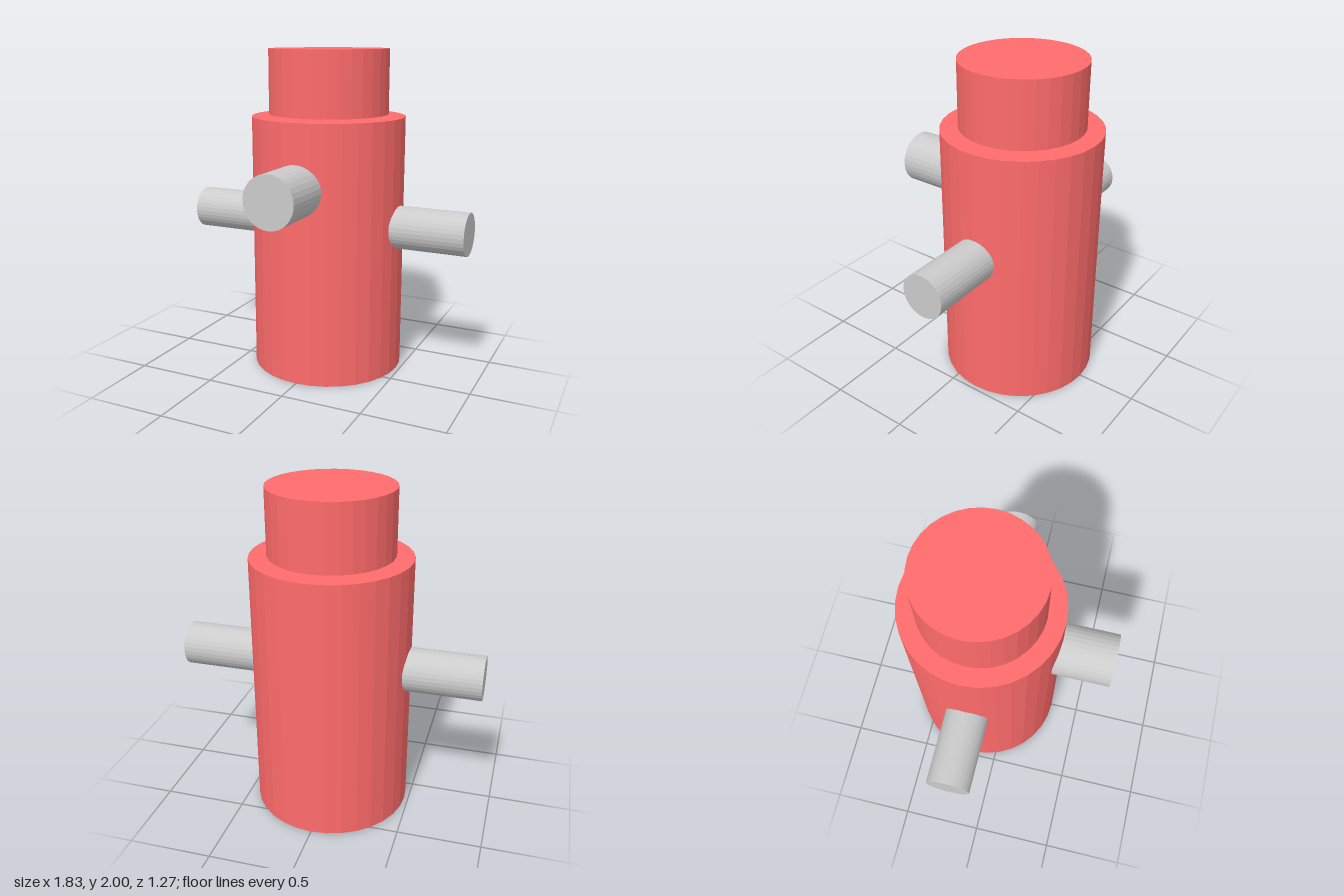
import * as THREE from 'three';

const SEGMENTS = 32;
const AXIS_Z = -0.16; // the upright axis sits behind the origin because of the front outlet

export function createModel() {
  const group = new THREE.Group();
  const red = new THREE.MeshStandardMaterial({ color: 0xff6b6b, flatShading: true });
  const grey = new THREE.MeshStandardMaterial({ color: 0xcccccc, flatShading: true });

  const addCylinder = (name, radius, length, material, x, y, z) => {
    const mesh = new THREE.Mesh(new THREE.CylinderGeometry(radius, radius, length, SEGMENTS), material);
    mesh.name = name;
    mesh.position.set(x, y, z);
    group.add(mesh);
    return mesh;
  };

  // Main barrel and the narrower cap hovering just above it
  addCylinder('barrel', 0.475, 1.594, red, 0, 0.797, AXIS_Z);
  addCylinder('cap', 0.37, 0.393, red, 0, 1.8035, AXIS_Z);

  // Mirrored side outlets, set into the barrel
  for (const side of [1, -1]) {
    const outlet = addCylinder(side > 0 ? 'leftOutlet' : 'rightOutlet', 0.132, 0.53, grey, side * 0.648, 0.931, AXIS_Z);
    outlet.rotation.z = -side * Math.PI / 2;
  }

  // Larger, higher front outlet
  const frontOutlet = addCylinder('frontOutlet', 0.158, 0.53, grey, 0, 1.196, 0.369);
  frontOutlet.rotation.x = Math.PI / 2;

  return group;
}
